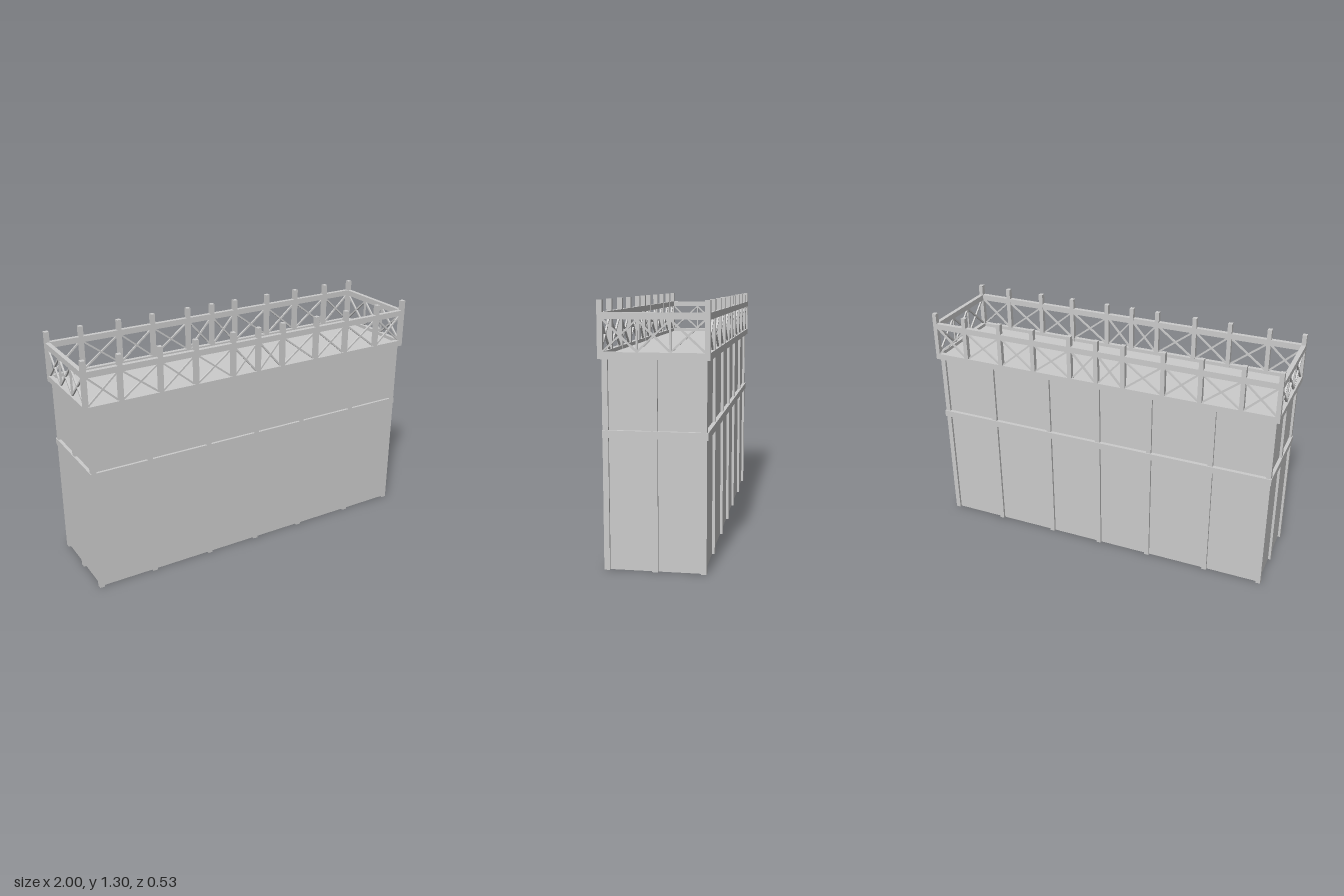
import * as THREE from 'three';

const material = new THREE.MeshStandardMaterial({ color: 0xcccccc, flatShading: true });
const wallMaterial = new THREE.MeshStandardMaterial({ color: 0xcccccc, side: THREE.DoubleSide });

// Box given by its extents on each axis
function block(parent, name, [x0, x1], [y0, y1], [z0, z1]) {
  const mesh = new THREE.Mesh(new THREE.BoxGeometry(x1 - x0, y1 - y0, z1 - z0), material);
  mesh.position.set((x0 + x1) / 2, (y0 + y1) / 2, (z0 + z1) / 2);
  mesh.name = name;
  parent.add(mesh);
  return mesh;
}

// Thin square bar between two points
function bar(parent, name, a, b, size = 0.009) {
  const dir = b.clone().sub(a);
  const mesh = new THREE.Mesh(new THREE.BoxGeometry(size, size, dir.length()), material);
  mesh.position.copy(a).add(b).multiplyScalar(0.5);
  mesh.lookAt(b);
  mesh.name = name;
  parent.add(mesh);
}

// Pair of crossed braces filling one railing bay
function crossBrace(parent, p, q) {
  const low = 1.06, high = 1.21;
  const at = (v, y) => new THREE.Vector3(v.x, y, v.z);
  bar(parent, 'crossBrace', at(p, low), at(q, high));
  bar(parent, 'crossBrace', at(p, high), at(q, low));
}

const around = (c, w) => [c - w / 2, c + w / 2];
const side = (s, inner, outer) => (s > 0 ? [inner, outer] : [-outer, -inner]);

export function createModel() {
  const model = new THREE.Group();
  model.name = 'timberPlatform';

  // Thin walls, open underneath
  const base = new THREE.Group();
  base.name = 'base';
  model.add(base);
  const wallTop = 1.025, wallX = 0.969, wallZ = 0.236;
  for (const s of [1, -1]) {
    const long = new THREE.Mesh(new THREE.PlaneGeometry(wallX * 2, wallTop), wallMaterial);
    long.position.set(0, wallTop / 2, s * wallZ);
    long.rotation.y = s > 0 ? 0 : Math.PI;
    long.name = s > 0 ? 'frontWall' : 'backWall';
    const end = new THREE.Mesh(new THREE.PlaneGeometry(wallZ * 2, wallTop), wallMaterial);
    end.position.set(s * wallX, wallTop / 2, 0);
    end.rotation.y = s * Math.PI / 2;
    end.name = s > 0 ? 'leftWall' : 'rightWall';
    base.add(long, end);
  }

  // Uprights along the walls and one slim post in the middle
  const height = [0, wallTop];
  for (const s of [1, -1]) {
    for (const x of [-0.969, -0.654, -0.304, 0, 0.304, 0.654, 0.969])
      block(base, 'wallPost', around(x, 0.027), height, side(s, 0.222, 0.25));
    block(base, 'endWallPost', side(s, 0.956, 0.983), height, around(0, 0.03));
  }
  block(base, 'centrePost', around(0, 0.013), height, around(0, 0.013));

  // Horizontal band around the walls, a little proud at the back
  const band = [0.65, 0.687];
  block(base, 'frontBand', [-0.987, 0.987], band, [0.224, 0.25]);
  block(base, 'backBand', [-0.987, 0.987], band, [-0.257, -0.224]);
  for (const s of [1, -1])
    block(base, 'endBand', side(s, 0.958, 0.987), band, [-0.257, 0.25]);

  // Deck
  block(model, 'deck', [-0.98, 0.98], [1.025, 1.04], [-0.245, 0.245]);

  // Railing beams, posts and braces
  const railing = new THREE.Group();
  railing.name = 'railing';
  model.add(railing);
  const railPosts = [-0.988, -0.8, -0.58, -0.377, -0.155, 0, 0.155, 0.377, 0.58, 0.8, 0.988];
  const endBars = [0.242, 0.079, -0.079, -0.242];
  for (const s of [1, -1]) {
    for (const [name, y] of [['lowerRail', [1.025, 1.059]], ['upperRail', [1.211, 1.243]]]) {
      block(railing, name, [-1, 1], y, side(s, 0.241, 0.266));
      block(railing, name, side(s, 0.976, 1), y, [-0.241, 0.241]);
    }
    railPosts.forEach((x, i) => {
      block(railing, 'railPost', around(x, 0.024), [1.025, 1.3], side(s, 0.24, 0.266));
      if (i === 0) return;
      crossBrace(railing,
        new THREE.Vector3(railPosts[i - 1] + 0.012, 0, s * 0.253),
        new THREE.Vector3(x - 0.012, 0, s * 0.253));
    });
    for (let i = 1; i < endBars.length; i++) {
      crossBrace(railing,
        new THREE.Vector3(s * 0.988, 0, endBars[i - 1]),
        new THREE.Vector3(s * 0.988, 0, endBars[i]));
      if (i < 3)
        block(railing, 'endRailBar', around(s * 0.988, 0.009), [1.055, 1.215], around(endBars[i], 0.009));
    }
  }
  return model;
}
